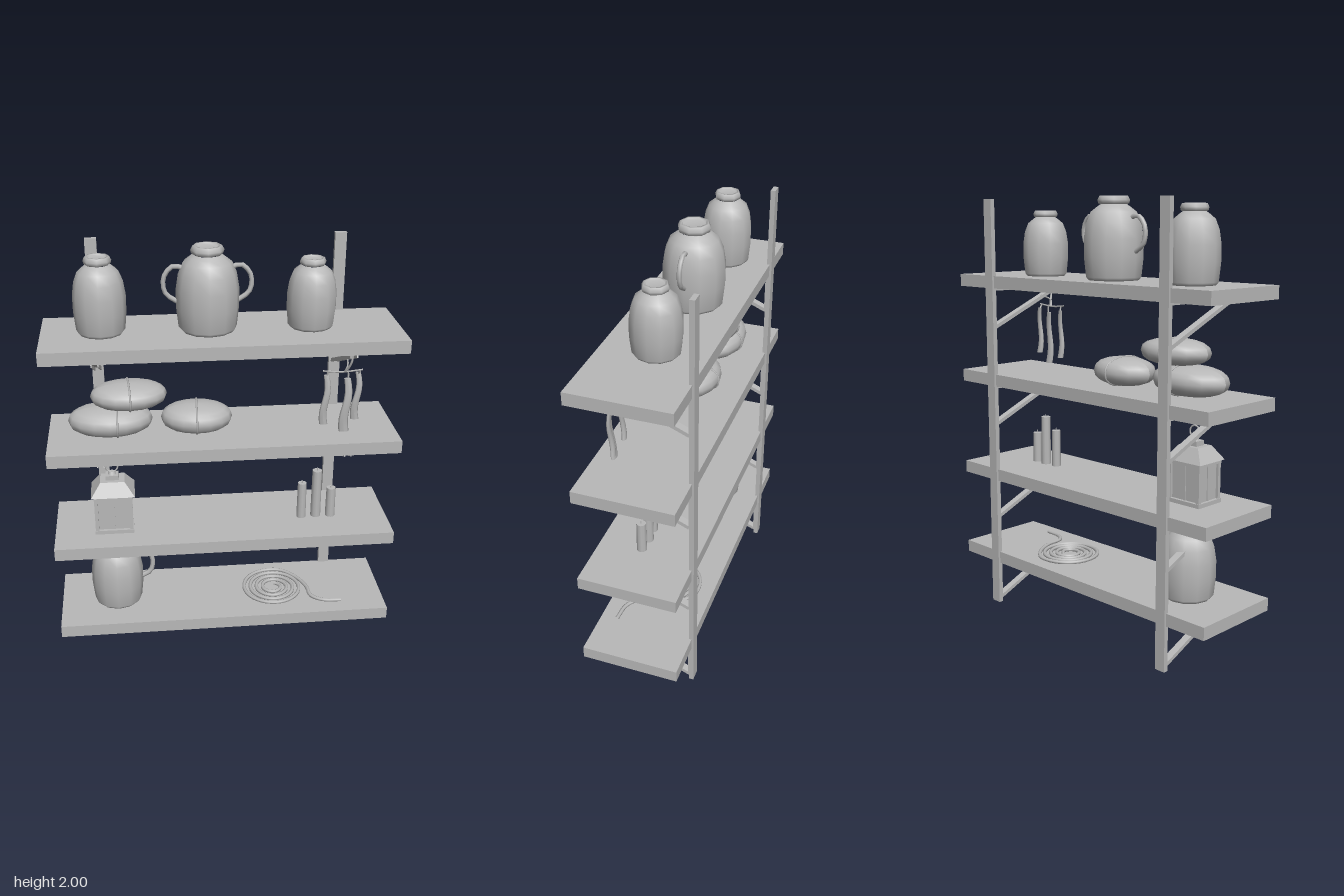
import * as THREE from 'three';

const V = (x, y, z) => new THREE.Vector3(x, y, z);
const grey = new THREE.MeshStandardMaterial({ color: 0xb8b8b8 });
grey.name = 'plain grey';

export function createModel() {
  const root = new THREE.Group();
  root.name = 'stockedShelf';

  const add = (name, geo, x = 0, y = 0, z = 0, parent = root) => {
    const m = new THREE.Mesh(geo, grey);
    m.name = name;
    m.position.set(x, y, z);
    parent.add(m);
    return m;
  };
  const box = (name, w, h, d, x, y, z, parent) => add(name, new THREE.BoxGeometry(w, h, d), x, y, z, parent);
  const tube = (name, pts, r, seg = 12, sides = 6, parent = root) =>
    add(name, new THREE.TubeGeometry(new THREE.CatmullRomCurve3(pts), seg, r, sides), 0, 0, 0, parent);
  const group = (name, x = 0, y = 0, z = 0) => {
    const g = new THREE.Group();
    g.name = name;
    g.position.set(x, y, z);
    root.add(g);
    return g;
  };

  // Wall posts, boards and channel-section brackets
  const tops = [0.27, 0.695, 1.165, 1.635];
  for (const x of [-0.55, 0.55]) box('post', 0.052, 1.985, 0.022, x, 0.9975, -0.216);
  for (const t of tops) {
    box('board', 1.56, 0.058, 0.445, 0, t - 0.029, 0.005);
    for (const x of [-0.55, 0.55]) {
      const b = group('bracket', x, t, 0);
      box('bracketArm', 0.034, 0.012, 0.385, 0, -0.064, -0.013, b);
      box('bracketFoot', 0.034, 0.19, 0.008, 0, -0.155, -0.203, b);
      const d = new THREE.Group();
      d.name = 'brace';
      d.position.set(0, -0.161, -0.012);
      d.rotation.x = -Math.atan2(0.165, 0.385);
      b.add(d);
      box('braceWeb', 0.034, 0.005, 0.41, 0, 0.006, 0, d);
      for (const s of [-1, 1]) box('braceFlange', 0.005, 0.017, 0.41, s * 0.0145, 0, 0, d);
    }
  }

  // Jars: one profile scaled to radius and height
  const profile = [[0, 0], [0.84, 0], [0.93, 0.04], [1, 0.28], [1, 0.5], [0.92, 0.68], [0.77, 0.81],
    [0.56, 0.87], [0.44, 0.9], [0.5, 0.91], [0.53, 0.95], [0.46, 1], [0.38, 1], [0.37, 0.97], [0, 0.97]];
  const jar = (x, y, z, r, h) => {
    const g = group('jar', x, y, z);
    const pts = profile.map(([a, b]) => new THREE.Vector2(a * r, b * h));
    add('jarBody', new THREE.LatheGeometry(pts.slice(0, 9), 12), 0, 0, 0, g);
    add('jarRim', new THREE.LatheGeometry(pts.slice(8), 8), 0, 0, 0, g);
    return g;
  };
  jar(-0.52, 1.635, -0.01, 0.113, 0.33);
  const big = jar(-0.06, 1.635, -0.008, 0.136, 0.365);
  jar(0.39, 1.635, -0.006, 0.108, 0.302);
  const jug = jar(-0.508, 0.27, 0.005, 0.123, 0.347);
  for (const s of [-1, 1]) {
    tube('jarHandle', [V(s * 0.1, 0.27, 0), V(s * 0.145, 0.28, 0), V(s * 0.185, 0.235, 0),
      V(s * 0.18, 0.165, 0), V(s * 0.12, 0.12, 0)], 0.011, 10, 6, big);
  }
  tube('jugHandle', [V(0.09, 0.255, 0), V(0.14, 0.265, 0), V(0.17, 0.215, 0),
    V(0.16, 0.145, 0), V(0.11, 0.115, 0)], 0.012, 10, 6, jug);

  // Tied bundles: plump flattened loaves, each with a cord round the middle
  const bundle = (x, y, a, h, d, cordX, turn) => {
    const g = group('bundle', x, y + h / 2, 0.008);
    g.rotation.y = turn;
    const geo = new THREE.SphereGeometry(1, 16, 10);
    const p = geo.attributes.position;
    const plump = (v, e) => Math.sign(v) * Math.abs(v) ** e;
    for (let i = 0; i < p.count; i++) {
      p.setXYZ(i, p.getX(i) * a, plump(p.getY(i), 0.8) * h / 2, p.getZ(i) * d);
    }
    geo.computeVertexNormals();
    add('loaf', geo, 0, 0, 0, g);
    const k = Math.sqrt(1 - (cordX / a) ** 2);
    const loop = [];
    for (let i = 0; i < 16; i++) {
      const t = i / 16 * Math.PI * 2;
      loop.push(V(cordX, plump(Math.sin(t) * k, 0.8) * h / 2, Math.cos(t) * d * k));
    }
    add('cord', new THREE.TubeGeometry(new THREE.CatmullRomCurve3(loop, true), 28, 0.005, 5, true), 0, 0, 0, g);
  };
  bundle(-0.5, 1.165, 0.188, 0.135, 0.124, 0.03, 0);
  bundle(-0.415, 1.288, 0.17, 0.118, 0.118, 0, 0.05);
  bundle(-0.115, 1.165, 0.16, 0.13, 0.12, 0, -0.05);

  // Lantern with framed panes, hipped roof and ring
  const lan = group('lantern', -0.507, 0.695, 0.035);
  box('lanternBase', 0.18, 0.018, 0.152, 0, 0.009, 0, lan);
  box('lanternGlass', 0.15, 0.17, 0.122, 0, 0.1, 0, lan);
  box('lanternTop', 0.178, 0.018, 0.15, 0, 0.185, 0, lan);
  for (const sx of [-1, 1]) {
    for (const sz of [-1, 1]) box('lanternCorner', 0.016, 0.17, 0.016, sx * 0.079, 0.1, sz * 0.065, lan);
    box('paneBar', 0.006, 0.17, 0.01, sx * 0.076, 0.1, 0, lan);
    box('paneBar', 0.01, 0.17, 0.006, 0, 0.1, sx * 0.062, lan);
  }
  const roofGeo = new THREE.CylinderGeometry(0.055 * Math.SQRT2, 0.1 * Math.SQRT2, 0.062, 4, 1).toNonIndexed();
  roofGeo.rotateY(Math.PI / 4);
  roofGeo.scale(1, 1, 0.83);
  roofGeo.computeVertexNormals();
  add('lanternRoof', roofGeo, 0, 0.222, 0, lan);
  box('lanternVent', 0.06, 0.022, 0.05, 0, 0.264, 0, lan);
  add('lanternKnob', new THREE.CylinderGeometry(0.013, 0.02, 0.015, 8), 0, 0.281, 0, lan);
  add('lanternRing', new THREE.TorusGeometry(0.027, 0.004, 6, 16), 0, 0.312, 0, lan);

  // Candles
  for (const [x, z, r, h] of [[0.376, 0.035, 0.022, 0.18], [0.446, 0.03, 0.024, 0.24], [0.515, 0.035, 0.023, 0.148]]) {
    const c = group('candle', x, 0.695, z);
    add('wax', new THREE.CylinderGeometry(r * 0.94, r, h, 10), 0, h / 2, 0, c);
    add('wick', new THREE.CylinderGeometry(0.002, 0.003, 0.014, 5), 0, h + 0.006, 0, c);
  }

  // Coiled rope with a loose tail
  const rope = [];
  const turns = 4;
  for (let i = 0; i <= turns * 14; i++) {
    const t = i / 14 * Math.PI * 2 - 1.2;
    const r = 0.03 + 0.122 * i / (turns * 14);
    rope.push(V(0.255 + Math.cos(t) * r, 0.278, 0.005 + Math.sin(t) * r));
  }
  rope.push(V(0.38, 0.278, -0.07), V(0.42, 0.278, 0.02), V(0.43, 0.278, 0.1), V(0.48, 0.278, 0.14), V(0.57, 0.278, 0.15));
  tube('rope', rope, 0.009, 240, 6);

  // Hanging strips on a small rod with hooks
  tube('hangingRod', [V(0.425, 1.478, 0.14), V(0.51, 1.47, 0.14), V(0.6, 1.478, 0.14)], 0.004, 6, 5);
  tube('rodHook', [V(0.545, 1.572, 0.16), V(0.545, 1.53, 0.165), V(0.53, 1.48, 0.145), V(0.52, 1.47, 0.14)], 0.005, 8, 5);
  tube('rodHook', [V(0.52, 1.47, 0.14), V(0.53, 1.5, 0.15), V(0.54, 1.53, 0.09)], 0.004, 6, 5);
  for (const [x, top, len, w, z] of [[0.443, 1.455, 0.235, 0.017, 0.132], [0.535, 1.44, 0.255, 0.021, 0.14], [0.585, 1.46, 0.225, 0.017, 0.122]]) {
    const geo = new THREE.CylinderGeometry(1, 1, len, 8, 8);
    const p = geo.attributes.position;
    for (let i = 0; i < p.count; i++) {
      const t = 0.5 - p.getY(i) / len;
      const k = 0.7 + 0.4 * t;
      p.setX(i, p.getX(i) * w * k + Math.sin(t * 6) * 0.008);
      p.setZ(i, p.getZ(i) * 0.009 * k + Math.sin(t * 4) * 0.006);
    }
    geo.computeVertexNormals();
    add('hangingStrip', geo, x, top - len / 2, z);
    tube('stripTie', [V(x, top - 0.01, z), V(x + 0.004, top + 0.01, 0.137), V(x, 1.478, 0.14)], 0.004, 5, 5);
  }

  return root;
}
